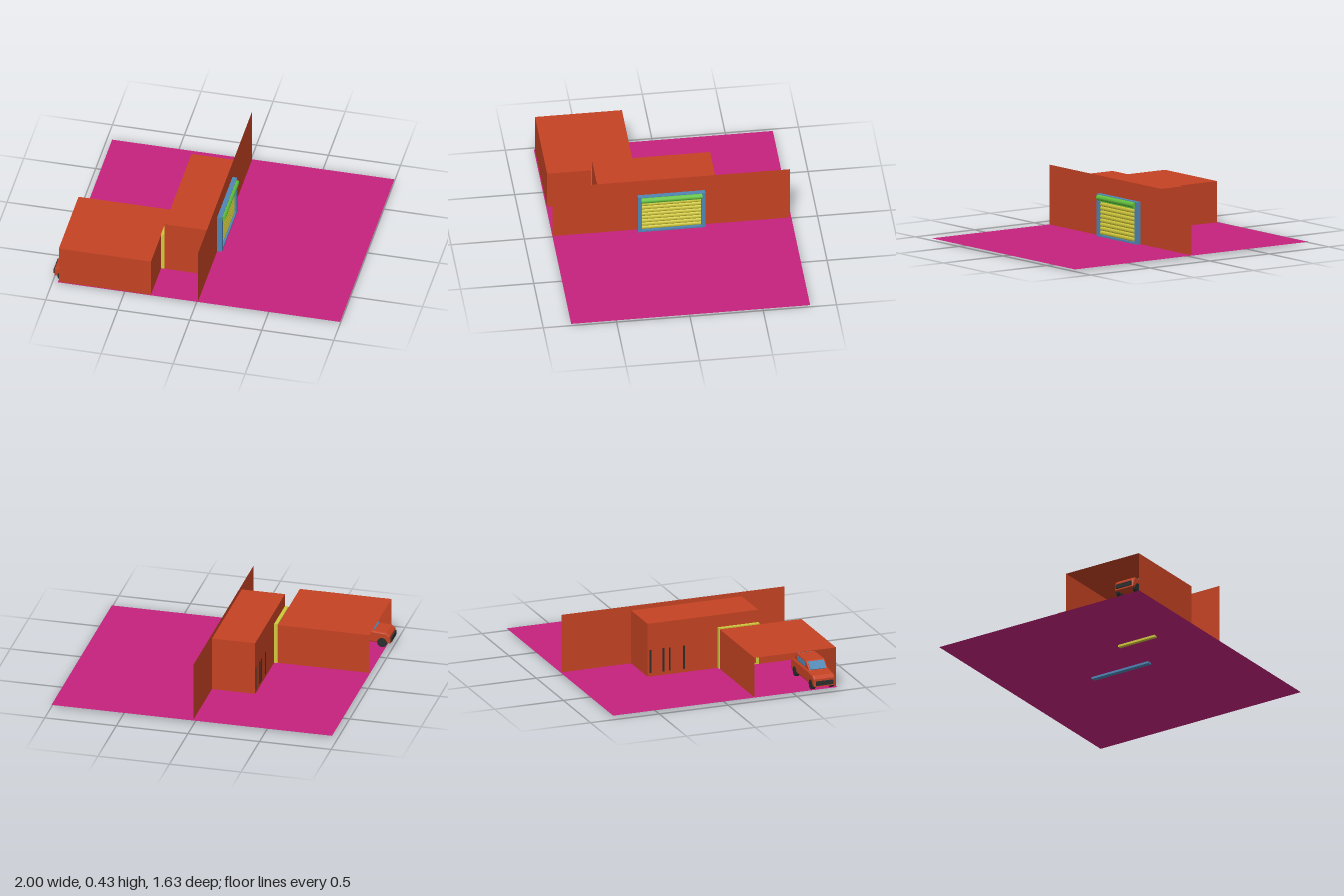
import * as THREE from 'three';

const mat = (name, color, side = THREE.FrontSide) => {
  const m = new THREE.MeshStandardMaterial({ color, side });
  m.name = name;
  return m;
};

export function createModel() {
  const root = new THREE.Group();
  root.name = 'loadingDock';
  const orange = mat('orange', 0xc44223, THREE.DoubleSide);
  const magenta = mat('magenta', 0xc4227c, THREE.DoubleSide);
  const yellow = mat('yellow', 0xd0c83c);
  const blue = mat('blue', 0x4f86b4);
  const green = mat('green', 0x62c03c);
  const black = mat('black', 0x2a2e2c);
  const FLOOR = 0.015;

  const add = (parent, name, geo, material, x = 0, y = 0, z = 0) => {
    const m = new THREE.Mesh(geo, material);
    m.name = name;
    m.position.set(x, y, z);
    parent.add(m);
    return m;
  };
  // Box given by its lower and upper corners
  const box = (parent, name, a, b, material) => add(parent, name,
    new THREE.BoxGeometry(b[0] - a[0], b[1] - a[1], b[2] - a[2]), material,
    (a[0] + b[0]) / 2, (a[1] + b[1]) / 2, (a[2] + b[2]) / 2);
  // Thin-walled room; open lists the sides left out (0..5 = +x -x +y -y +z -z)
  const room = (name, a, b, open) => {
    const m = box(root, name, a, b, orange);
    const index = Array.from(m.geometry.index.array);
    m.geometry.setIndex(index.filter((_, i) => !open.includes(Math.floor(i / 6))));
    m.geometry.clearGroups();
  };
  // Rectangular frame standing in the yz plane
  const frame = (name, x0, x1, y1, z0, z1, bar, material) => {
    const g = new THREE.Group();
    g.name = name;
    root.add(g);
    const s = new THREE.Shape([[z0, 0], [z1, 0], [z1, y1], [z0, y1]].map(p => new THREE.Vector2(-p[0], p[1])));
    s.holes.push(new THREE.Path([[z0 + bar, bar], [z0 + bar, y1 - bar], [z1 - bar, y1 - bar], [z1 - bar, bar]]
      .map(p => new THREE.Vector2(-p[0], p[1]))));
    const geo = new THREE.ExtrudeGeometry(s, { depth: x1 - x0, bevelEnabled: false });
    geo.rotateY(Math.PI / 2);
    add(g, name + 'Bars', geo, material, x0);
    return g;
  };

  // Ground sheet and dividing wall
  const ground = new THREE.PlaneGeometry(1.96, 1.63).rotateX(-Math.PI / 2);
  add(root, 'ground', ground, magenta, 0.02, FLOOR, -0.005);
  const wall = new THREE.PlaneGeometry(1.62, 0.41).rotateY(Math.PI / 2);
  add(root, 'dividingWall', wall, orange, 0.012, FLOOR + 0.205, 0);

  // Garage open towards -x, and the taller hall behind the wall
  room('garage', [-0.955, FLOOR, 0.21], [-0.315, 0.297, 0.803], [1, 3]);
  room('hall', [-0.29, FLOOR, -0.305], [0.012, 0.393, 0.5], [0, 3]);

  // Narrow slits on the hall's side
  [-0.285, -0.19, -0.145, -0.04].forEach(z =>
    box(root, 'hallSlit', [-0.294, 0.04, z - 0.006], [-0.289, 0.205, z + 0.006], black));

  // Door frames
  frame('passageFrame', -0.315, -0.29, 0.305, 0.205, 0.5, 0.025, yellow);
  const door = frame('rollerDoor', 0.012, 0.045, 0.305, -0.23, 0.23, 0.027, blue);

  // Ribbed roller curtain
  const slats = 9, y0 = 0.027, pitch = 0.25 / slats;
  box(door, 'curtain', [0.014, y0, -0.203], [0.026, 0.278, 0.203], yellow);
  for (let i = 0; i < slats; i++) {
    const rib = new THREE.CylinderGeometry(pitch / 2, pitch / 2, 0.404, 10).rotateX(Math.PI / 2);
    rib.scale(0.6, 1, 1);
    add(door, 'slat', rib, yellow, 0.026, y0 + pitch * (i + 0.5), 0);
  }
  // Rolled-up drum above the curtain
  const drum = new THREE.CylinderGeometry(0.02, 0.02, 0.414, 12).rotateX(Math.PI / 2);
  add(door, 'drum', drum, green, 0.045, 0.282, 0);
  box(door, 'drumLip', [0.03, 0.255, -0.205], [0.045, 0.268, 0.205], green);

  // Parked car, nose pointing out of the garage
  const car = new THREE.Group();
  car.name = 'car';
  car.position.set(0, 0, 0.705);
  root.add(car);
  const slab = (name, pts, width, bevel, material) => {
    const shape = new THREE.Shape(pts.map(p => new THREE.Vector2(p[0], p[1])));
    const geo = new THREE.ExtrudeGeometry(shape, {
      depth: width - 2 * bevel, bevelEnabled: true, bevelSize: bevel,
      bevelThickness: bevel, bevelOffset: -bevel, bevelSegments: 2,
    });
    add(car, name, geo, material, 0, 0, -width / 2 + bevel);
  };
  slab('carBody', [[-0.992, 0.045], [-0.56, 0.045], [-0.555, 0.115], [-0.6, 0.128], [-0.87, 0.128],
    [-0.965, 0.12], [-0.99, 0.1]], 0.155, 0.01, orange);
  slab('carCabin', [[-0.89, 0.12], [-0.59, 0.12], [-0.65, 0.18], [-0.82, 0.18]], 0.135, 0.006, orange);

  // Windscreen and rear window
  [[-0.855, 0.153, 0.709], [-0.62, 0.153, -0.785]].forEach(([x, y, tilt], i) => {
    const pane = add(car, i ? 'rearWindow' : 'windscreen', new THREE.BoxGeometry(0.066, 0.006, 0.115), blue, x, y, 0);
    pane.rotation.z = tilt;
  });
  // Bumper, side windows and wheels
  box(car, 'bumper', [-1.0, 0.055, -0.062], [-0.985, 0.085, 0.062], black);
  for (const side of [-1, 1]) {
    const z = side * 0.067;
    box(car, 'sideWindow', [-0.815, 0.135, z - 0.003], [-0.66, 0.168, z + 0.003], blue);
    for (const x of [-0.935, -0.64]) {
      const wheel = new THREE.CylinderGeometry(0.034, 0.034, 0.024, 16).rotateX(Math.PI / 2);
      add(car, 'wheel', wheel, black, x, FLOOR + 0.034, side * 0.068);
    }
  }
  return root;
}
